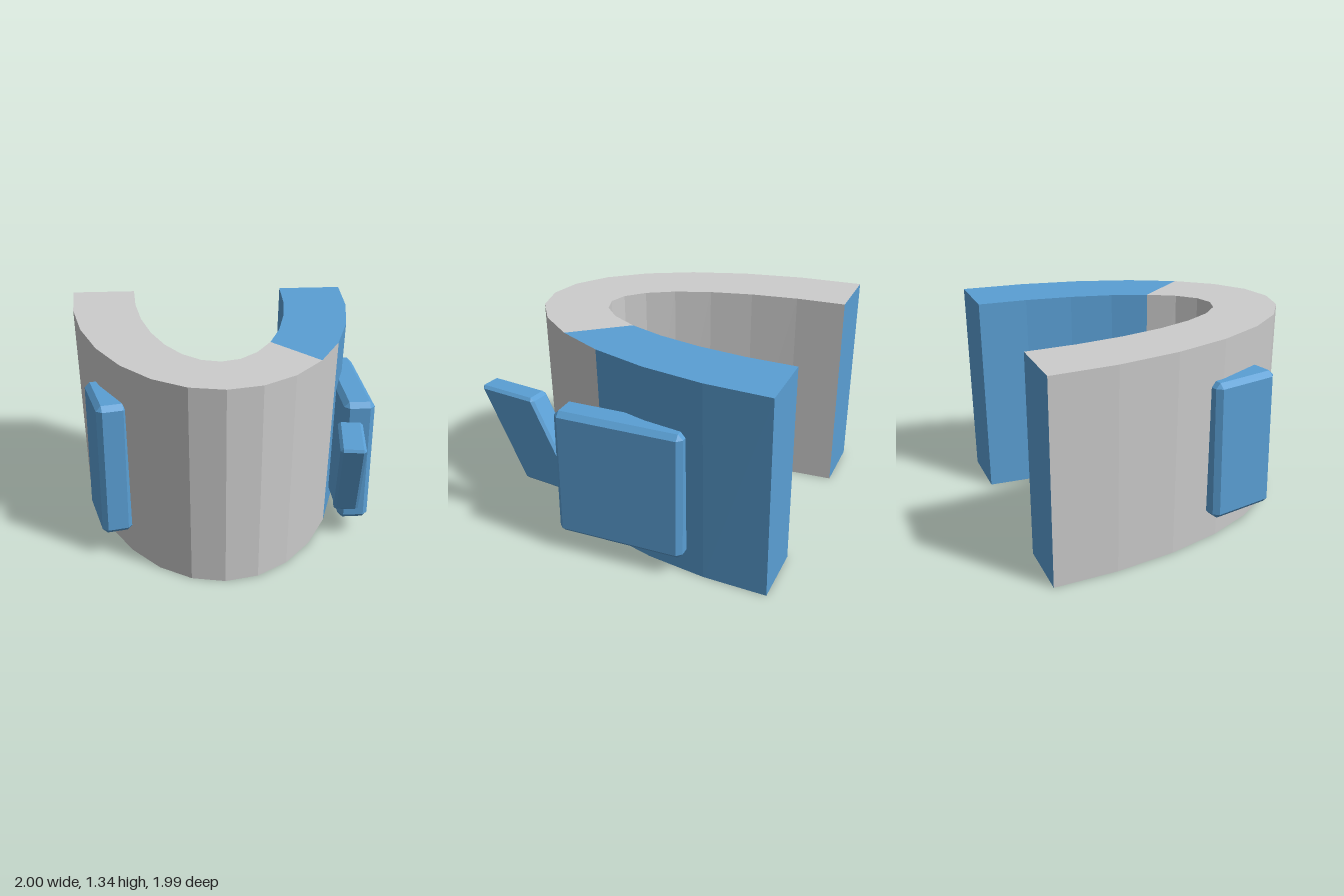
import * as THREE from 'three';
import { ConvexGeometry } from 'three/addons/geometries/ConvexGeometry.js';

const grey = new THREE.MeshStandardMaterial({ color: 0xcccccc, flatShading: true });
const blue = new THREE.MeshStandardMaterial({ color: 0x5a9fd4, flatShading: true });

const HEIGHT = 1.335;
const STEPS = 7; // facets on each half of the U

// Point on the half-elliptical band; the band tapers slightly towards the bottom
function bandPoint(i, outer, top) {
  const t = (i / STEPS) * Math.PI / 2;
  const a = (outer ? 0.995 : 0.547) * (top ? 1 : 0.957);
  const b = (outer ? 1.895 : 1.46) * (top ? 1 : 0.984);
  return [-0.005 + a * Math.sin(t), top ? HEIGHT : 0, -1 + b * Math.cos(t)];
}

function quadMesh(name, quads, material) {
  const positions = [];
  for (const [a, b, c, d] of quads) positions.push(...a, ...b, ...c, ...a, ...c, ...d);
  const geometry = new THREE.BufferGeometry();
  geometry.setAttribute('position', new THREE.Float32BufferAttribute(positions, 3));
  geometry.computeVertexNormals();
  const mesh = new THREE.Mesh(geometry, material);
  mesh.name = name;
  return mesh;
}

// U-shaped band, split into a grey body and a coloured left arm
function createBand() {
  const greyQuads = [], blueQuads = [];
  const P = bandPoint;
  for (let i = -STEPS; i < STEPS; i++) {
    const j = i + 1;
    const arm = i >= 3 ? blueQuads : greyQuads;
    const outside = i >= 4 ? blueQuads : greyQuads;
    outside.push([P(i, true, false), P(j, true, false), P(j, true, true), P(i, true, true)]);
    arm.push(
      [P(j, false, false), P(i, false, false), P(i, false, true), P(j, false, true)],
      [P(i, true, true), P(j, true, true), P(j, false, true), P(i, false, true)],
      [P(i, false, false), P(j, false, false), P(j, true, false), P(i, true, false)]
    );
  }
  // Flat ends of the two arms
  for (const [i, first] of [[STEPS, true], [-STEPS, false]]) {
    blueQuads.push([P(i, first, false), P(i, !first, false), P(i, !first, true), P(i, first, true)]);
  }
  const band = new THREE.Group();
  band.name = 'band';
  band.add(quadMesh('bandBody', greyQuads, grey), quadMesh('bandArmAndEnds', blueQuads, blue));
  return band;
}

// Box with chamfered edges, optionally leaning along z as it rises
function chamferBox(name, w, h, d, bevel, lean = 0) {
  const points = [];
  for (const sx of [-1, 1]) for (const sy of [-1, 1]) for (const sz of [-1, 1]) {
    for (let full = 0; full < 3; full++) {
      const [x, y, z] = [w, h, d].map((s, k) => s / 2 - (k === full ? 0 : bevel));
      points.push(new THREE.Vector3(sx * x, sy * y, sz * z + lean * sy * y / h));
    }
  }
  const mesh = new THREE.Mesh(new ConvexGeometry(points), blue);
  mesh.name = name;
  return mesh;
}

export function createModel() {
  const model = new THREE.Group();
  model.name = 'model';
  model.add(createBand());

  // Square plate on the left side
  const leftPlate = chamferBox('leftPlate', 0.2, 0.855, 0.845, 0.033);
  leftPlate.position.set(0.9, 0.558, -0.043);

  // Narrow plate following the curve on the right side
  const rightPlate = chamferBox('rightPlate', 0.2, 0.91, 0.46, 0.033);
  rightPlate.position.set(-0.73, 0.625, 0.3);
  rightPlate.rotation.y = 0.227;

  // Slanted tab leaning forward beside the left plate
  const tab = chamferBox('slantedTab', 0.155, 0.59, 0.41, 0.018, 0.32);
  tab.position.set(0.785, 0.67, 0.63);
  tab.rotation.y = -0.14;

  model.add(leftPlate, rightPlate, tab);
  return model;
}
